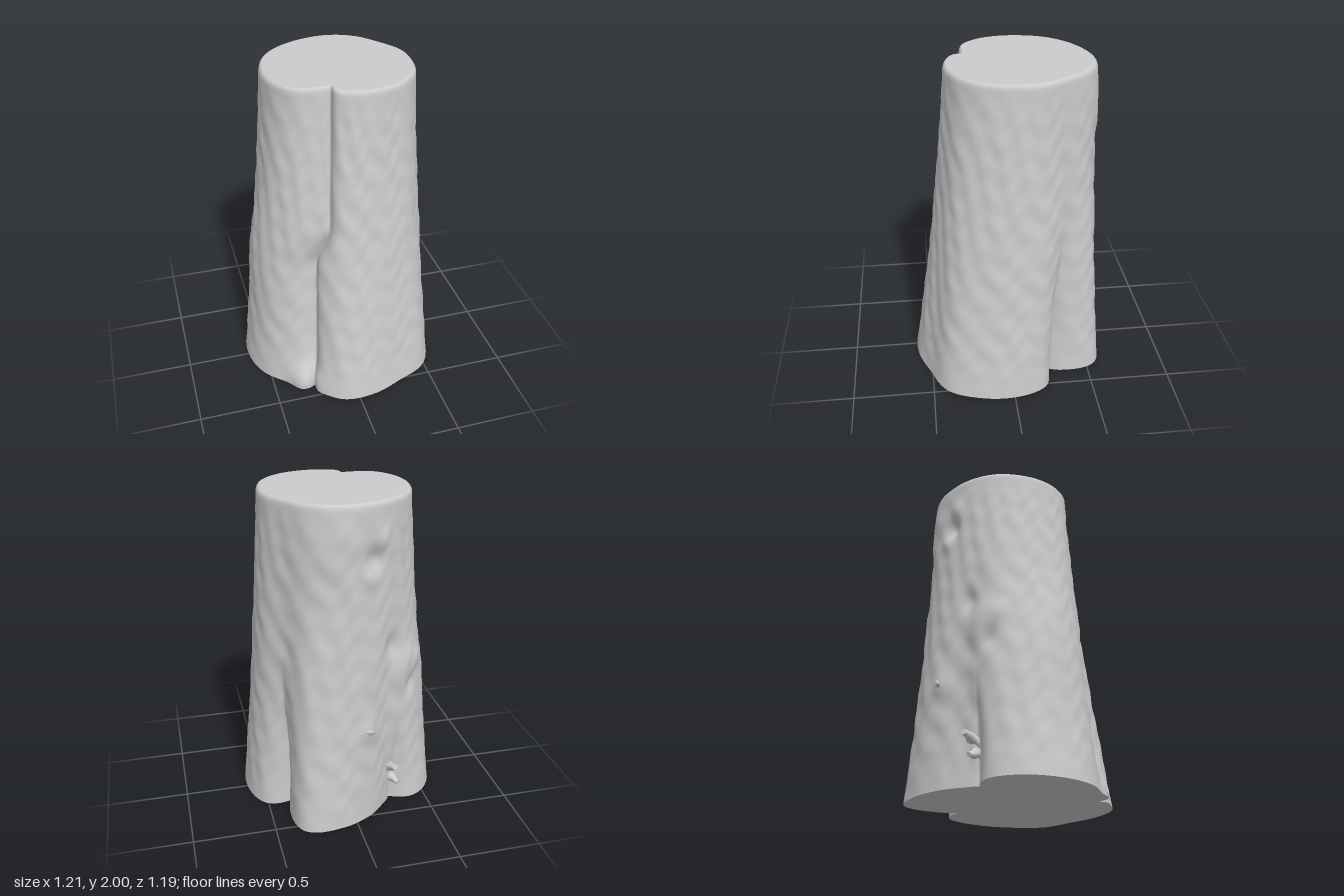
import * as THREE from 'three';

// Radii every 20 degrees, turning from +x towards +z, at the foot and at the cut
const FOOT = [.605, .625, .645, .595, .595, .59, .52, .535, .58, .605, .61, .57, .47, .515, .59, .65, .54, .58];
const CUT = [.468, .455, .428, .392, .36, .33, .305, .36, .39, .41, .43, .458, .478, .497, .515, .512, .488, .488];
const RADII = new THREE.CatmullRomCurve3(FOOT.map((r, i) => new THREE.Vector3(r, CUT[i], 0)), true, 'catmullrom');
const SEGS = 288, ROWS = 90, TURN = Math.PI * 2;

// Local swellings and dents: angle, height, size, depth
const BUMPS = [
  [287, 1.8, .18, .02], [258, 1.68, .06, -.035], [252, 1.78, .06, .015], [262, 1.58, .05, .015],
  [231, .95, .08, .022], [222, .82, .05, -.02], [240, 1.12, .06, -.018], [214, 1.0, .06, .015],
  [262, .62, .06, .02], [180, .85, .25, .02], [126, .04, .09, .08],
];

// Depth of a groove at a given angle, with its own slope on each side
function groove(deg, centre, depth, before, after) {
  const d = deg - centre;
  return depth * Math.exp(-Math.abs(d) / (d < 0 ? before : after));
}

function radiusAt(deg, y) {
  const a = deg * Math.PI / 180;
  const pair = RADII.getPoint(deg / 360);
  let r = pair.y + (pair.x - pair.y) * (1 - y / 2) ** 1.25;

  // Long front crack that shifts sideways halfway up, and two grooves between the roots
  const low = 1 - THREE.MathUtils.smoothstep(y, .85, 1.15);
  r -= groove(deg, 110 + low * (11 + 5 * y), .055 + .045 * low, 3.5, 10);
  r -= groove(deg, 327 - 4 * y, .14 * (1 - THREE.MathUtils.smoothstep(y, .1, 1.1)), 6, 5);
  r -= groove(deg, 231, .09 * (1 - THREE.MathUtils.smoothstep(y, 0, .75)), 7, 7);

  // Fine slanted bark ripples, fading out at both ends
  r += Math.min(1, y * 5, (2 - y) * 5) * (.002 * Math.sin(9 * a + 5 * y + Math.sin(6 * y))
    + .0025 * Math.sin(21 * a - 17 * y + 2 * Math.sin(3 * a + 4 * y))
    + .0015 * Math.sin(37 * y + 8 * a + 2 * Math.sin(13 * a)));
  for (const [angle, height, size, depth] of BUMPS) {
    const across = (deg - angle) * Math.PI / 180 * .5;
    r += depth * Math.exp(-(across ** 2 + .6 * (y - height) ** 2) / size ** 2);
  }
  return r;
}

function ringAt(y, inset = 0) {
  return Array.from({ length: SEGS }, (_, i) => {
    const r = radiusAt(360 * i / SEGS, y) - inset, a = TURN * i / SEGS;
    return new THREE.Vector3(r * Math.cos(a), y, r * Math.sin(a));
  });
}

function makeGeometry(points, index) {
  const g = new THREE.BufferGeometry().setFromPoints(points);
  g.setIndex(index);
  g.computeVertexNormals();
  return g;
}

// Closed wall through a stack of rings
function wallGeometry(rings) {
  const index = [];
  for (let j = 0; j < rings.length - 1; j++) {
    for (let i = 0; i < SEGS; i++) {
      const a = j * SEGS + i, b = j * SEGS + (i + 1) % SEGS;
      index.push(a, a + SEGS, b, b, a + SEGS, b + SEGS);
    }
  }
  return makeGeometry(rings.flat(), index);
}

// Fan that closes one end
function capGeometry(ring, up) {
  const index = [];
  for (let i = 0; i < SEGS; i++) {
    const n = (i + 1) % SEGS;
    index.push(SEGS, up ? n : i, up ? i : n);
  }
  return makeGeometry([...ring, new THREE.Vector3(0, ring[0].y, 0)], index);
}

// Rough tapered stub rooted in the bark
function stubGeometry(radius, length, flat) {
  const g = new THREE.CylinderGeometry(radius * .6, radius * 1.3, length, 9, 3);
  g.translate(0, length * .35, 0);
  const v = g.attributes.position;
  for (let i = 0; i < v.count; i++) {
    const k = 1 + .2 * Math.sin(70 * v.getY(i) + 90 * v.getX(i));
    v.setXYZ(i, v.getX(i) * k, v.getY(i), v.getZ(i) * k * flat);
  }
  g.computeVertexNormals();
  return g;
}

export function createModel() {
  const group = new THREE.Group();
  const material = new THREE.MeshStandardMaterial({ color: 0xcccccc });
  const add = (name, geometry) => {
    const mesh = new THREE.Mesh(geometry, material);
    mesh.name = name;
    group.add(mesh);
    return mesh;
  };

  // Bark wall with a softly rounded upper rim, closed at both ends
  const rings = [];
  for (let j = 0; j <= ROWS; j++) rings.push(ringAt(1.975 * j / ROWS));
  rings.push(ringAt(1.988, .004), ringAt(1.996, .01), ringAt(2, .018));
  add('bark', wallGeometry(rings));
  add('cutTop', capGeometry(rings[rings.length - 1], true));
  add('base', capGeometry(rings[0], false));

  // Broken twigs and a knot at the back
  const addStub = (name, position, direction, radius, length, flat) => {
    const stub = add(name, stubGeometry(radius, length, flat));
    stub.position.set(...position);
    stub.quaternion.setFromUnitVectors(new THREE.Vector3(0, 1, 0), new THREE.Vector3(...direction).normalize());
  };
  addStub('upperTwig', [-.24, .26, -.36], [-.4, .3, -.8], .04, .1, .7);
  addStub('lowerTwig', [-.26, .18, -.35], [-.5, -.3, -.7], .03, .09, .8);
  addStub('smallKnot', [-.04, .62, -.51], [-.85, .1, -.4], .025, .08, .6);
  return group;
}
